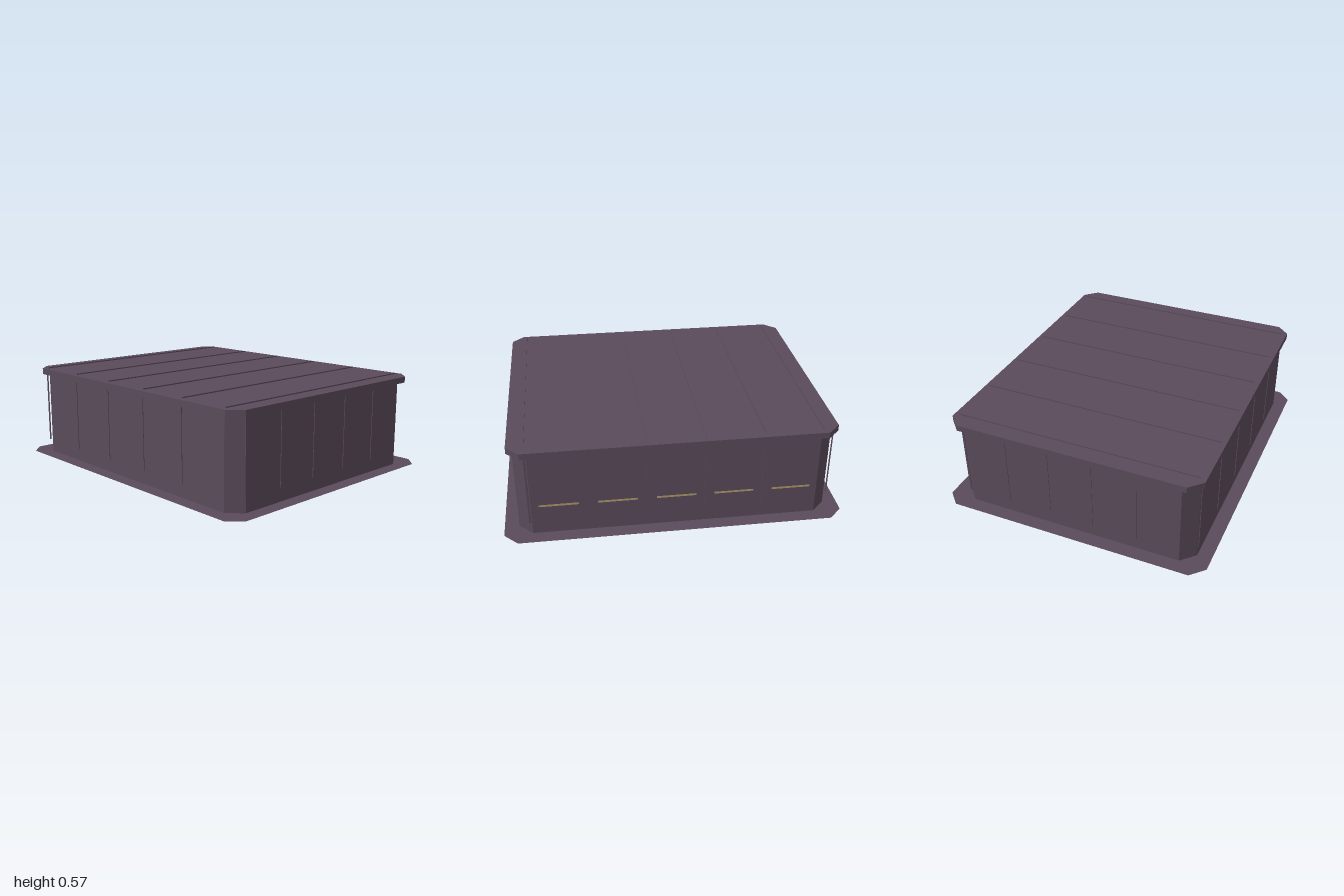
import * as THREE from 'three';

const wallPaint = new THREE.MeshStandardMaterial({ color: 0x5a4b5a, side: THREE.DoubleSide });
wallPaint.name = 'dusky plum';
const trimPaint = new THREE.MeshStandardMaterial({ color: 0xb39c6c, side: THREE.DoubleSide });
trimPaint.name = 'dull gold';

// Plan corners of a rectangle with cut corners: half sizes and cut length
const octagon = (x, z, c) => [
  [x, -z + c], [x, z - c], [x - c, z], [-x + c, z],
  [-x, z - c], [-x, -z + c], [-x + c, -z], [x - c, -z],
];

// Open band of flat faces between two octagons, each { plan, y }
function band(lower, upper) {
  const positions = [];
  const corner = (ring, i) => {
    const [x, z] = ring.plan[i % 8];
    return [x, ring.y, z];
  };
  for (let i = 0; i < 8; i++) {
    const a = corner(lower, i), b = corner(lower, i + 1);
    const c = corner(upper, i), d = corner(upper, i + 1);
    positions.push(...a, ...c, ...b, ...b, ...c, ...d);
  }
  const geometry = new THREE.BufferGeometry();
  geometry.setAttribute('position', new THREE.Float32BufferAttribute(positions, 3));
  geometry.computeVertexNormals();
  return geometry;
}

const outline = (points) => new THREE.Shape(points.map(([a, b]) => new THREE.Vector2(a, b)));

// Flat horizontal plate filling an octagon
const plate = ({ plan, y }) =>
  new THREE.ShapeGeometry(outline(plan)).rotateX(-Math.PI / 2).translate(0, y, 0);

export function createModel() {
  const model = new THREE.Group();
  const add = (name, geometry, material = wallPaint) => {
    const mesh = new THREE.Mesh(geometry, material);
    mesh.name = name;
    model.add(mesh);
    return mesh;
  };

  const X = 0.745, Z = 0.915, ROOF = 0.562;
  const body = octagon(X, Z, 0.08);
  const roof = octagon(0.775, 0.945, 0.075);
  const foot = { plan: body, y: 0 };
  const floor = { plan: octagon(0.69, 0.86, 0.08), y: 0.03 };
  const roofTop = { plan: roof, y: ROOF };

  // Ground skirt, bevelled underside and floor
  add('groundSkirt', band({ plan: octagon(0.83, 1, 0.08), y: 0 }, foot));
  add('floorBevel', band(foot, floor));
  add('floor', plate(floor));

  // Walls run up behind the hanging roof lip
  add('walls', band(foot, { plan: body, y: ROOF }));
  add('roofLip', band({ plan: roof, y: 0.525 }, roofTop));
  add('roof', plate(roofTop));

  // Thin wall ribs, starting at the left end of each wall as it is faced
  for (let side = 0; side < 4; side++) {
    const onEnd = side % 2 === 0;
    const first = onEnd ? -0.675 : -0.845;
    const step = onEnd ? 0.27 : 0.338;
    const wall = new THREE.Group();
    wall.name = ['frontRibs', 'leftRibs', 'backRibs', 'rightRibs'][side];
    wall.rotation.y = side * Math.PI / 2;
    for (let i = 0; i < 5; i++) {
      const rib = new THREE.Mesh(new THREE.BoxGeometry(0.012, 0.46, 0.004), wallPaint);
      rib.name = 'rib';
      rib.position.set(first + i * step, 0.313, (onEnd ? Z : X) + 0.01);
      wall.add(rib);
    }
    model.add(wall);
  }

  // Upright roof seams
  for (let i = 0; i < 6; i++) {
    add('roofSeam', new THREE.PlaneGeometry(1.49, 0.008))
      .position.set(0, ROOF + 0.003, -0.845 + i * 0.338);
  }

  // Hatches on the left wall; every other one has a lower step
  const plain = [[-0.115, 0.19], [-0.115, 0.083], [0.115, 0.083], [0.115, 0.19]];
  const stepped = [
    ...plain.slice(0, 2), [-0.066, 0.083], [-0.066, 0.025],
    [0.066, 0.025], [0.066, 0.083], ...plain.slice(2),
  ];
  for (let i = 0; i < 5; i++) {
    const z = -0.676 + i * 0.338;
    const hatch = new THREE.ShapeGeometry(outline(i % 2 === 0 ? stepped : plain));
    add('hatch', hatch.rotateY(Math.PI / 2).translate(X + 0.006, 0, z));
    const trim = new THREE.PlaneGeometry(0.23, 0.013).rotateY(Math.PI / 2);
    add('hatchTrim', trim, trimPaint).position.set(X + 0.01, 0.194, z);
  }
  return model;
}
